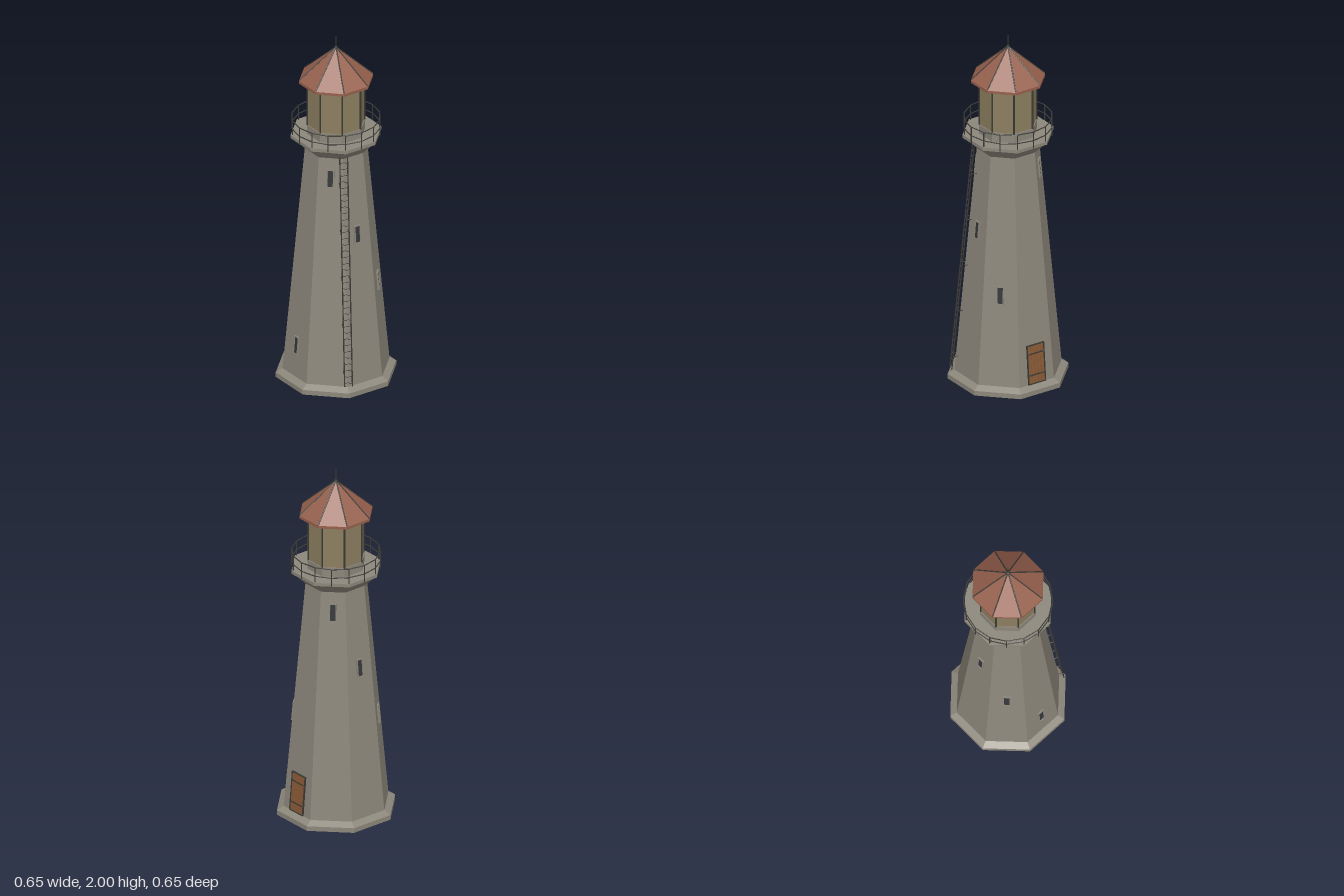
import * as THREE from 'three';

const mat = (color) => new THREE.MeshStandardMaterial({ color, flatShading: true });
const stone = mat(0x8c877b), tiles = mat(0x96604d), glass = mat(0x8c7f60);
const metal = mat(0x3c3a35), dark = mat(0x35373a), wood = mat(0x8a5a36);

const BASE_Y = 0.07, TOP_Y = 1.36, BASE_R = 0.288, TOP_R = 0.168;
const wallRadius = (y) => BASE_R + (TOP_R - BASE_R) * (y - BASE_Y) / (TOP_Y - BASE_Y);
const APOTHEM = Math.cos(Math.PI / 8);
const LEAN = Math.atan((BASE_R - TOP_R) * APOTHEM / (TOP_Y - BASE_Y));

// Point at an angle around the tower, measured from the front
const polar = (r, angle, y) => new THREE.Vector3(r * Math.sin(angle), y, r * Math.cos(angle));

function add(parent, name, geometry, material) {
  const mesh = new THREE.Mesh(geometry, material);
  mesh.name = name;
  parent.add(mesh);
  return mesh;
}

// Eight-sided solid from [radius, height] pairs, bottom to top
function octagon(parent, name, profile, material) {
  const points = profile.map(([r, y]) => new THREE.Vector2(r, y));
  return add(parent, name, new THREE.LatheGeometry(points, 8).toNonIndexed(), material);
}

// Straight round bar between two points
function bar(parent, name, a, b, r, material = metal, sides = 6) {
  const mesh = add(parent, name, new THREE.CylinderGeometry(r, r, a.distanceTo(b), sides), material);
  mesh.position.copy(a).add(b).multiplyScalar(0.5);
  mesh.quaternion.setFromUnitVectors(new THREE.Vector3(0, 1, 0), b.clone().sub(a).normalize());
  return mesh;
}

function box(parent, name, w, h, d, x, y, z, material) {
  const mesh = add(parent, name, new THREE.BoxGeometry(w, h, d), material);
  mesh.position.set(x, y, z);
  return mesh;
}

// Group lying on a sloping wall face, its local z pointing out of the wall
function onWall(parent, name, degrees, y) {
  const group = new THREE.Group();
  group.name = name;
  const angle = THREE.MathUtils.degToRad(degrees);
  group.position.copy(polar(wallRadius(y) * APOTHEM, angle, y));
  group.rotation.set(-LEAN, angle, 0, 'YXZ');
  parent.add(group);
  return group;
}

// Rectangular surround of four blocks
function surround(parent, w, h, t, depth, material) {
  for (const s of [-1, 1]) {
    box(parent, 'jamb', t, h, depth, s * (w - t) / 2, 0, 0, material);
    box(parent, 'lintel', w - 2 * t, t, depth, 0, s * (h - t) / 2, 0, material);
  }
}

function buildWindow(parent, degrees, y) {
  const win = onWall(parent, 'window', degrees, y);
  surround(win, 0.04, 0.104, 0.006, 0.018, stone);
  box(win, 'windowPane', 0.03, 0.094, 0.008, 0, 0, 0, dark);
}

function buildDoor(parent) {
  const door = onWall(parent, 'door', 112.5, 0.18);
  surround(door, 0.11, 0.222, 0.005, 0.018, metal);
  box(door, 'doorBacking', 0.1, 0.212, 0.006, 0, 0, 0, dark);
  for (let i = 0; i < 5; i++) {
    box(door, 'plank', 0.018, 0.21, 0.012, (i - 2) * 0.0198, 0, 0, wood);
  }
  for (const y of [-0.06, 0.06]) box(door, 'doorStrap', 0.09, 0.007, 0.015, 0, y, 0, metal);
}

function buildLadder(parent) {
  const ladder = new THREE.Group();
  ladder.name = 'ladder';
  parent.add(ladder);
  const at = (x, y) => new THREE.Vector3(x, y, wallRadius(y) + 0.02);
  for (const x of [-0.021, 0.021]) {
    bar(ladder, 'ladderRail', at(x, 0.08), at(x, 1.375), 0.0035);
    // Stays into the wall
    for (let i = 0; i < 5; i++) {
      const y = 0.155 + i * 0.265;
      const end = at(x, y);
      end.z -= 0.035;
      bar(ladder, 'ladderStay', at(x, y), end, 0.0025);
    }
  }
  for (let i = 0; i < 36; i++) {
    const y = 0.1 + i * 0.0355;
    bar(ladder, 'rung', at(-0.021, y), at(0.021, y), 0.0025);
  }
}

function buildRailing(parent) {
  const railing = new THREE.Group();
  railing.name = 'galleryRailing';
  parent.add(railing);
  const n = 16, r = 0.235;
  for (let i = 0; i < n; i++) {
    const a = i * 2 * Math.PI / n, b = (i + 1) * 2 * Math.PI / n;
    bar(railing, 'railingPost', polar(r, a, 1.43), polar(r, a, 1.525), 0.003);
    for (const y of [1.475, 1.525]) {
      bar(railing, 'handrail', polar(r, a, y), polar(r, b, y), 0.003);
    }
  }
}

function buildLantern(parent) {
  const lantern = new THREE.Group();
  lantern.name = 'lantern';
  parent.add(lantern);
  octagon(lantern, 'lanternWall', [[0.157, 1.44], [0.157, 1.492], [0.148, 1.492]], stone);
  octagon(lantern, 'lanternGlass', [[0.152, 1.49], [0.152, 1.73]], glass);
  octagon(lantern, 'lanternCornice', [[0.148, 1.725], [0.158, 1.725], [0.158, 1.742]], stone);
  for (let i = 0; i < 8; i++) {
    const a = i * Math.PI / 4;
    bar(lantern, 'lanternPost', polar(0.153, a, 1.49), polar(0.153, a, 1.73), 0.005);
  }
}

function buildRoof(parent) {
  const roof = new THREE.Group();
  roof.name = 'roof';
  parent.add(roof);
  octagon(roof, 'roofTiles', [[0, 1.74], [0.2, 1.74], [0.2, 1.755], [0, 1.935]], tiles);
  // Ribs along the hips
  for (let i = 0; i < 8; i++) {
    const a = i * Math.PI / 4;
    bar(roof, 'roofRib', polar(0.198, a, 1.757), polar(0.004, a, 1.932), 0.0035);
  }
  octagon(roof, 'finial', [[0, 1.915], [0.013, 1.92], [0.008, 1.938], [0, 1.942]], metal);
}

export function createModel() {
  const model = new THREE.Group();
  model.name = 'lighthouse';

  octagon(model, 'plinth', [[0, 0.02], [0.325, 0.02], [0.325, 0.047], [BASE_R - 0.005, 0.071]], stone);
  const rings = [];
  for (let i = 0; i <= 4; i++) {
    const y = THREE.MathUtils.lerp(BASE_Y - 0.005, TOP_Y, i / 4);
    rings.push([wallRadius(y), y]);
  }
  octagon(model, 'towerWall', rings, stone);
  octagon(model, 'gallery', [[TOP_R, 1.355], [0.235, 1.422], [0.245, 1.422], [0.245, 1.44], [0, 1.44]], stone);

  // Windows climb the wall in two opposite spirals, the door ending one of them
  for (const start of [-22.5, 157.5]) {
    for (let i = 0; i < 3; i++) buildWindow(model, start + i * 45, 1.24 - i * 0.33);
  }
  buildWindow(model, 292.5, 0.245);
  buildDoor(model);

  buildLadder(model);
  buildRailing(model);
  buildLantern(model);
  buildRoof(model);

  // Rod running through the whole tower
  bar(model, 'lightningRod', polar(0, 0, 0), polar(0, 0, 2), 0.0025);
  return model;
}
